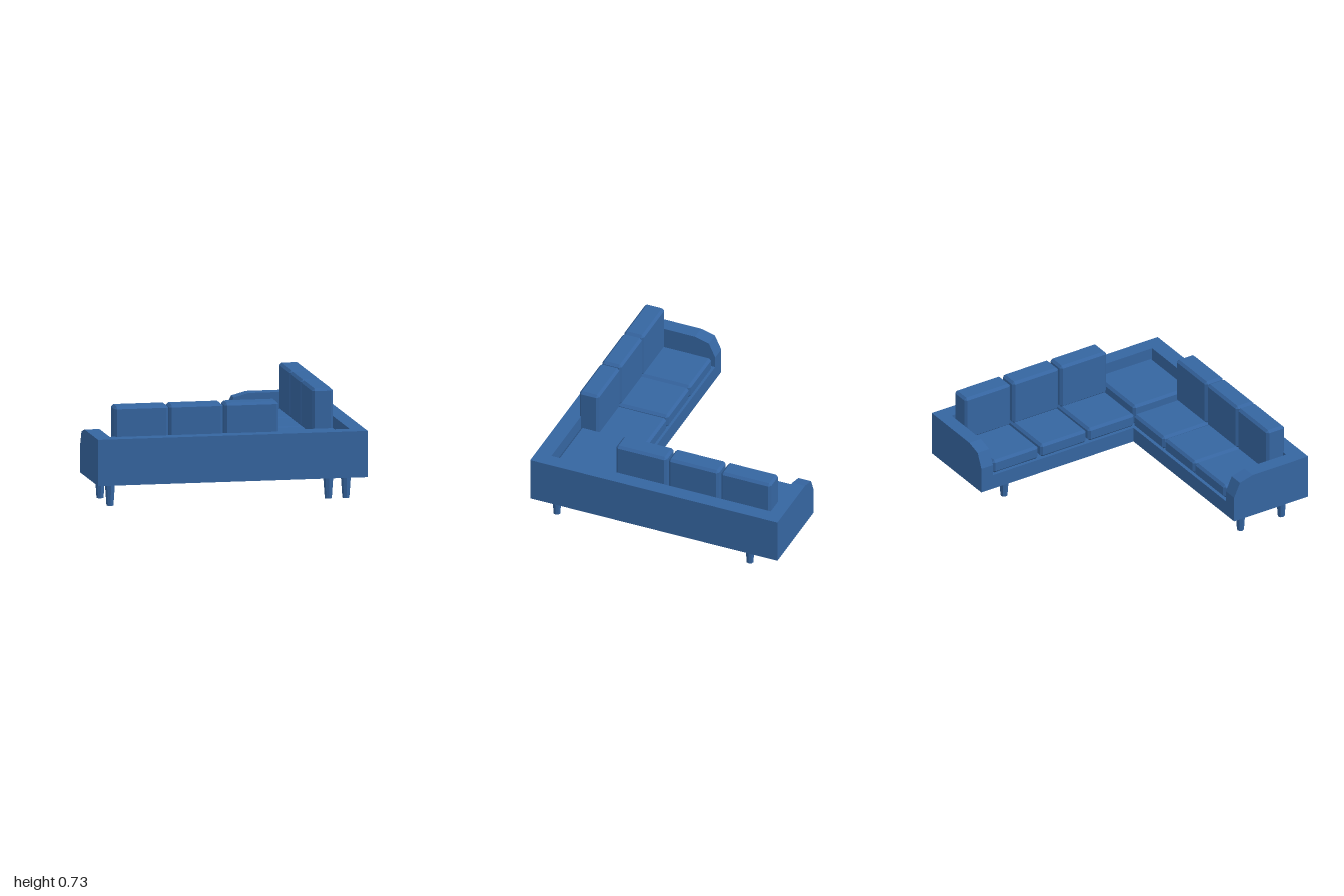
import * as THREE from 'three';
import { ConvexGeometry } from 'three/addons/geometries/ConvexGeometry.js';

const fabric = new THREE.MeshStandardMaterial({ color: 0x3565a0 });
fabric.name = 'blueFabric';
fabric.flatShading = true;

const FLOOR = 0.17, RIM = 0.51, DECK = 0.285, SEAT = 0.39;

function add(parent, name, geometry) {
  const mesh = new THREE.Mesh(geometry, fabric);
  mesh.name = name;
  parent.add(mesh);
  return mesh;
}

// Box with chamfered edges, given by its limits on each axis
function cushion(parent, name, [x0, x1], [y0, y1], [z0, z1], c = 0.018) {
  const half = [(x1 - x0) / 2, (y1 - y0) / 2, (z1 - z0) / 2];
  const points = [];
  for (const sx of [-1, 1]) for (const sy of [-1, 1]) for (const sz of [-1, 1]) {
    for (let axis = 0; axis < 3; axis++) {
      const p = half.map((h, i) => (i === axis ? h : h - c));
      points.push(new THREE.Vector3(p[0] * sx, p[1] * sy, p[2] * sz));
    }
  }
  const mesh = add(parent, name, new ConvexGeometry(points));
  mesh.position.set((x0 + x1) / 2, (y0 + y1) / 2, (z0 + z1) / 2);
}

// Floor-plan outline in [x, z], raised from y0 to y1
function slab(parent, name, outline, y0, y1) {
  const shape = new THREE.Shape(outline.map(([x, z]) => new THREE.Vector2(x, -z)));
  const g = new THREE.ExtrudeGeometry(shape, { depth: y1 - y0, bevelEnabled: false });
  g.rotateX(-Math.PI / 2);
  g.translate(0, y0, 0);
  add(parent, name, g);
}

// Arm side profile: [distance from the open end, height]
function armGeometry(length, thickness) {
  const profile = [[0, FLOOR], [length, FLOOR], [length, RIM], [0.16, RIM], [0.05, 0.48], [0, 0.37]];
  const shape = new THREE.Shape(profile.map(([d, y]) => new THREE.Vector2(d, y)));
  return new THREE.ExtrudeGeometry(shape, { depth: thickness, bevelEnabled: false });
}

export function createModel() {
  const sofa = new THREE.Group();
  sofa.name = 'cornerSofa';

  // Frame: seat deck and the L-shaped back wall
  const frame = new THREE.Group();
  frame.name = 'frame';
  sofa.add(frame);
  slab(frame, 'seatDeck',
    [[-0.89, 0.335], [0.34, 0.335], [0.34, -0.88], [0.89, -0.88], [0.89, 0.855], [-0.89, 0.855]], FLOOR, DECK);
  slab(frame, 'backWall',
    [[-0.89, 0.855], [0.89, 0.855], [0.89, -0.88], [1, -0.88], [1, 0.975], [-0.89, 0.975]], FLOOR, RIM);

  // Arms with rounded open ends
  const endArm = add(frame, 'endArm', armGeometry(0.66, 0.1));
  endArm.position.set(0.34, 0, -0.98);
  const sideArm = add(frame, 'sideArm', armGeometry(0.64, 0.11));
  sideArm.rotation.y = -Math.PI / 2;
  sideArm.position.set(-0.89, 0, 0.335);

  // Seat and back cushions along both wings
  const cushions = new THREE.Group();
  cushions.name = 'cushions';
  sofa.add(cushions);
  for (const x of [[-0.855, -0.455], [-0.45, -0.052], [-0.04, 0.36]]) {
    cushion(cushions, 'seatCushion', x, [DECK, SEAT], [0.345, 0.85]);
    cushion(cushions, 'backCushion', x, [SEAT - 0.01, 0.73], [0.715, 0.87]);
  }
  for (const z of [[-0.87, -0.475], [-0.457, -0.06], [-0.045, 0.355]]) {
    cushion(cushions, 'seatCushion', [0.35, 0.885], [DECK, SEAT], z);
    cushion(cushions, 'backCushion', [0.72, 0.875], [SEAT - 0.01, 0.73], z);
  }
  cushion(cushions, 'cornerCushion', [0.372, 0.885], [DECK, 0.44], [0.36, 0.845]);

  // Tapered legs
  const legs = new THREE.Group();
  legs.name = 'legs';
  sofa.add(legs);
  for (const [x, z] of [[-0.88, 0.82], [-0.88, 0.467], [0.74, 0.82], [0.87, 0.82], [0.87, -0.707], [0.46, -0.707]]) {
    add(legs, 'leg', new THREE.CylinderGeometry(0.038, 0.026, FLOOR, 8)).position.set(x, FLOOR / 2, z);
  }
  return sofa;
}
